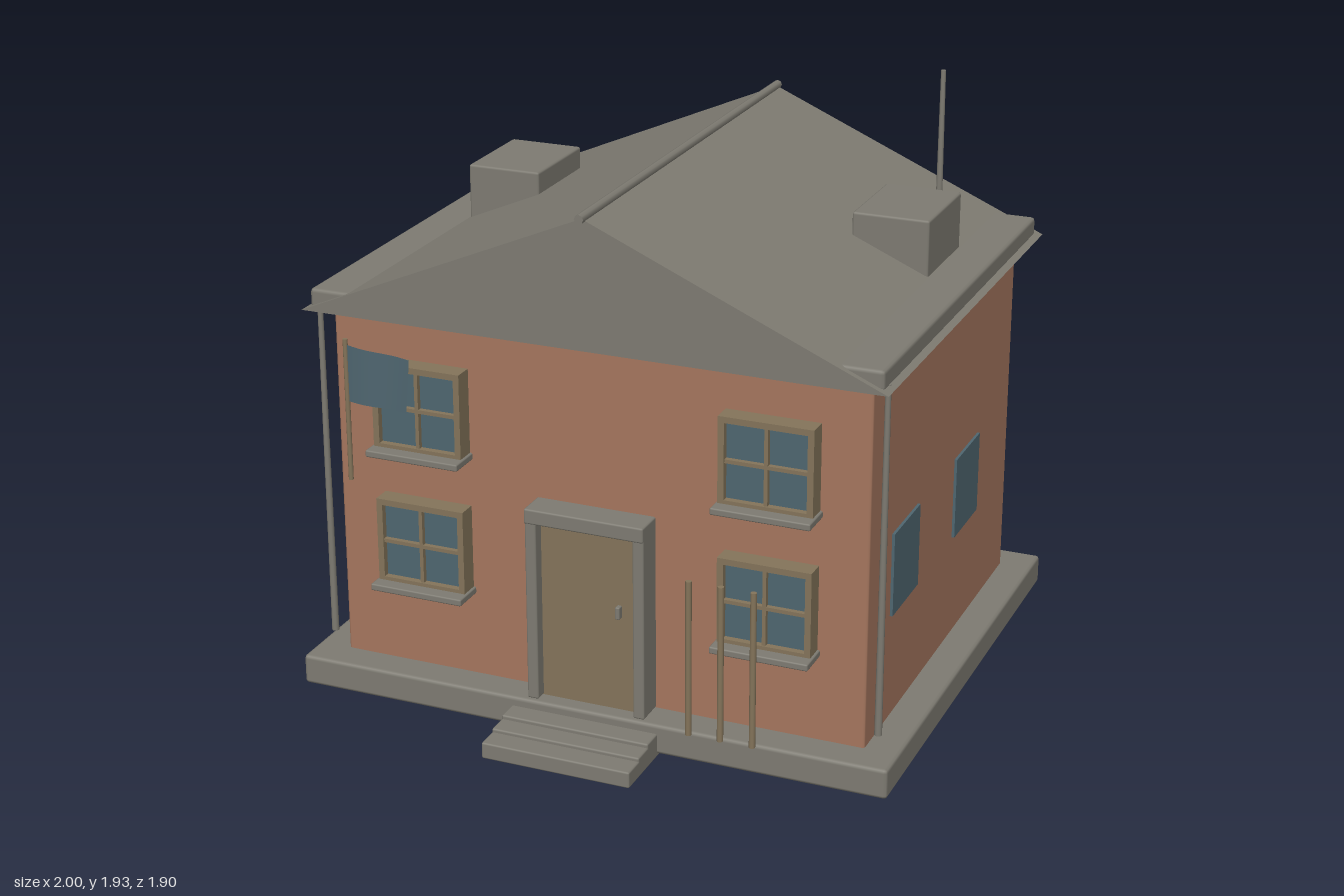
import * as THREE from 'three';
import { RoundedBoxGeometry } from 'three/addons/geometries/RoundedBoxGeometry.js';

function mat(name, color, side = THREE.FrontSide) {
  const m = new THREE.MeshStandardMaterial({ color, side });
  m.name = name;
  return m;
}

export function createModel() {
  const house = new THREE.Group();
  house.name = 'house';
  const brick = mat('brick', 0xa5765e);
  const stone = mat('stone', 0x7e7b72);
  const timber = mat('timber', 0x84745a);
  const glass = mat('glass', 0x4f6670, THREE.DoubleSide);

  function add(name, geometry, material, parent = house) {
    const mesh = new THREE.Mesh(geometry, material);
    mesh.name = name;
    parent.add(mesh);
    return mesh;
  }
  // Box given by its limits; a bevel above 0 softens the edges
  function box(name, material, [x0, x1], [y0, y1], [z0, z1], bevel = 0, parent = house) {
    const size = [x1 - x0, y1 - y0, z1 - z0];
    const geometry = bevel ? new RoundedBoxGeometry(...size, 1, bevel) : new THREE.BoxGeometry(...size);
    const mesh = add(name, geometry, material, parent);
    mesh.position.set((x0 + x1) / 2, (y0 + y1) / 2, (z0 + z1) / 2);
    return mesh;
  }
  function pole(name, material, x, z, y0, y1, rTop, rBottom = rTop) {
    const mesh = add(name, new THREE.CylinderGeometry(rTop, rBottom, y1 - y0, 10), material);
    mesh.position.set(x, (y0 + y1) / 2, z);
    return mesh;
  }

  // Foundation, walls and entrance steps
  box('foundation', stone, [-1, 1], [0.01, 0.11], [-0.95, 0.73], 0.012);
  box('walls', brick, [-0.89, 0.89], [0.1, 1.31], [-0.84, 0.62], 0.008);
  [[0.055, 0.948], [0.067, 0.873], [0.08, 0.803]].forEach(([top, front], i) =>
    box('step' + (i + 1), stone, [-0.25, 0.25], [0, top], [0.7, front], 0.006));

  // Gabled roof with ridge and eaves
  const gable = new THREE.Shape([[-0.96, 1.3], [0.96, 1.3], [0, 1.715]].map(p => new THREE.Vector2(...p)));
  const roof = new THREE.ExtrudeGeometry(gable, { depth: 1.62, bevelEnabled: false });
  roof.translate(0, 0, -0.92);
  add('roof', roof, stone);
  const ridge = add('ridge', new THREE.CylinderGeometry(0.015, 0.015, 1.65, 8), stone);
  ridge.rotation.x = Math.PI / 2;
  ridge.position.set(0, 1.718, -0.105);

  for (const s of [-1, 1]) {
    const span = (a, b) => (s > 0 ? [a, b] : [-b, -a]);
    box('eaves', stone, span(0.74, 0.94), [1.302, 1.367], [-0.895, 0.68], 0.012);
    box('chimney', stone, span(0.545, 0.8), [1.36, 1.553], [-0.49, -0.153], 0.008);
    pole('downpipe', stone, s * 0.935, 0.628, 0.17, 1.31, 0.009, 0.012);
    // Plain side windows
    for (const z of [-0.315, 0.315])
      box('sideWindow', glass, span(0.9, 0.909), [0.478, 0.752], [z - 0.125, z + 0.125]);
  }
  pole('antenna', stone, 0.705, -0.555, 1.41, 1.93, 0.008, 0.011);

  // Front windows: glass, frame, crossbars and sill
  function frontWindow(x, y) {
    const g = new THREE.Group();
    g.name = 'frontWindow';
    g.position.set(x, y, 0);
    house.add(g);
    const w = 0.152, h = 0.144, t = 0.02;
    box('pane', glass, [-w + t, w - t], [-h + t, h - t], [0.655, 0.663], 0, g);
    for (const s of [-1, 1]) {
      const side = s > 0 ? [w - t, w] : [-w, -w + t];
      const rail = s > 0 ? [h - t, h] : [-h, -h + t];
      box('frameSide', timber, side, [-h, h], [0.61, 0.685], 0, g);
      box('frameRail', timber, [-w, w], rail, [0.61, 0.685], 0, g);
    }
    box('crossbarUpright', timber, [-0.006, 0.006], [-h, h], [0.66, 0.68], 0, g);
    box('crossbarLevel', timber, [-w, w], [-0.006, 0.006], [0.66, 0.68], 0, g);
    box('sill', stone, [-w - 0.008, w + 0.008], [-h - 0.015, -h + 0.008], [0.61, 0.73], 0.005, g);
  }
  // Shuttered back windows
  function backWindow(x, y) {
    box('backShutter', timber, [x - 0.148, x + 0.148], [y - 0.14, y + 0.14], [-0.885, -0.835], 0.005);
    box('backSill', stone, [x - 0.158, x + 0.158], [y - 0.158, y - 0.135], [-0.888, -0.835], 0.005);
  }
  for (const y of [0.55, 1.01]) {
    for (const x of [-0.58, 0.58]) frontWindow(x, y);
    for (const x of [-0.58, 0, 0.58]) backWindow(x, y - 0.003);
  }

  // Door and its surround
  box('door', timber, [-0.165, 0.165], [0.11, 0.72], [0.6, 0.675]);
  box('doorPostRight', stone, [-0.2, -0.162], [0.11, 0.74], [0.61, 0.715], 0.006);
  box('doorPostLeft', stone, [0.162, 0.2], [0.11, 0.74], [0.61, 0.715], 0.006);
  box('doorLintel', stone, [-0.2, 0.2], [0.712, 0.762], [0.61, 0.72], 0.006);
  box('doorHandle', stone, [0.094, 0.11], [0.428, 0.47], [0.67, 0.695], 0.004);

  // Free-standing posts beside the door
  for (const x of [0.365, 0.47, 0.575]) pole('post', timber, x, 0.755, 0.115, 0.635, 0.01);

  // Flag on its pole, gently waved
  pole('flagpole', timber, -0.79, 0.735, 0.77, 1.24, 0.008);
  const flag = new THREE.PlaneGeometry(1, 1, 10, 1);
  const p = flag.attributes.position;
  for (let i = 0; i < p.count; i++) {
    const u = p.getX(i) + 0.5, v = p.getY(i) + 0.5;
    p.setXYZ(i, -0.785 + u * (0.2 + 0.015 * v), 1.035 - 0.012 * u + v * 0.187 - 0.01 * u * v,
      0.737 + 0.006 * Math.sin(u * 6));
  }
  flag.computeVertexNormals();
  add('flag', flag, glass);

  return house;
}
